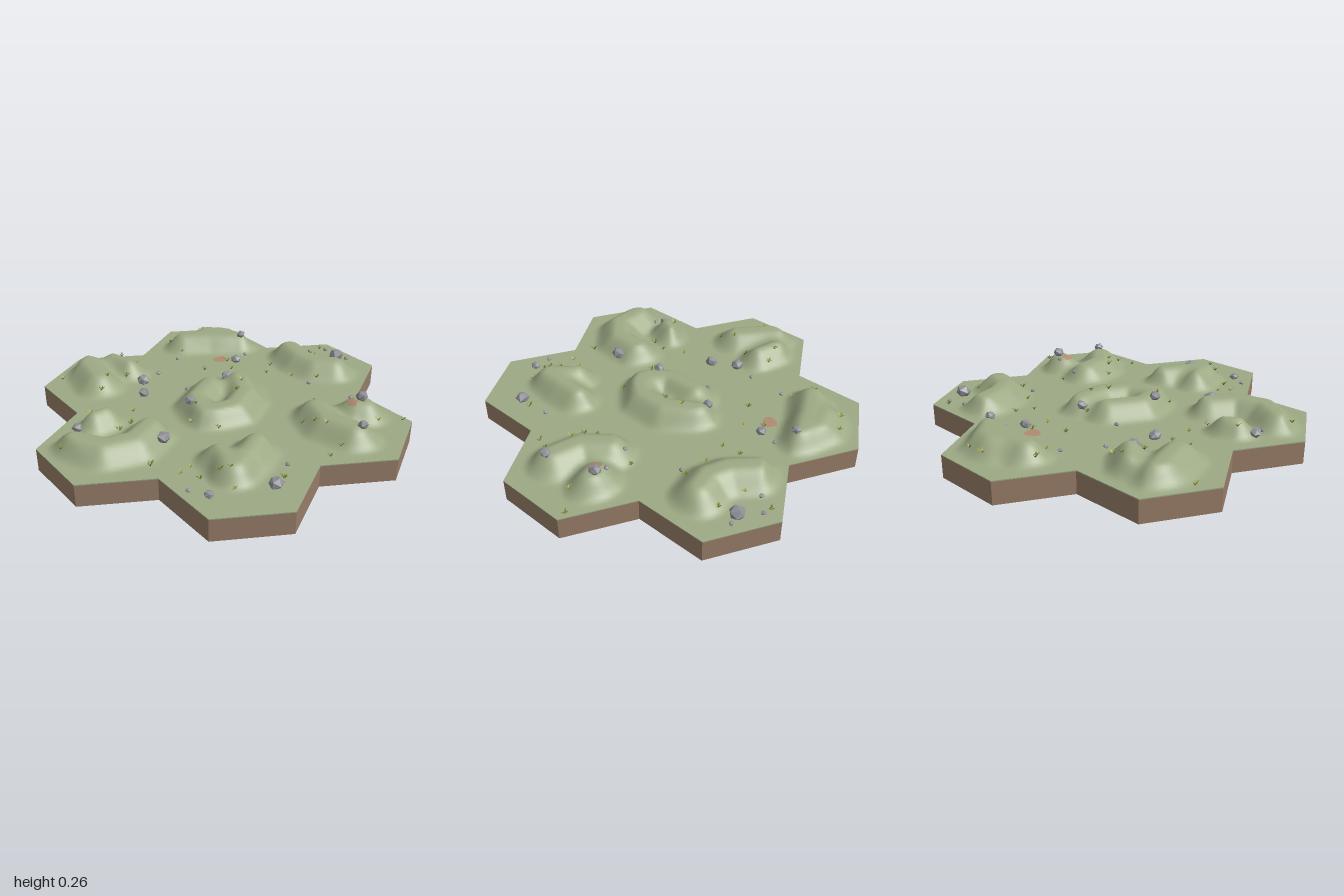
import * as THREE from 'three';
import { mergeGeometries, mergeVertices } from 'three/addons/utils/BufferGeometryUtils.js';

const APOTHEM = 1 / 3, R = APOTHEM * 2 / Math.sqrt(3), TOP = 0.122, HILL = 0.092;

// Tile centres, each with its dune ridges: [path, flat half width, slope width]
const TILES = [
  { c: [0, 0], ridges: [[[[-0.1, -0.08], [-0.1, 0.1], [-0.02, 0.2]], 0.015, 0.13],
    [[[0.03, -0.2], [0.12, -0.05], [0.12, 0.1], [0.05, 0.2]], 0.02, 0.13]] },
  { c: [-2 * APOTHEM, 0], ridges: [[[[-0.87, -0.06], [-0.8, 0.0], [-0.7, 0.09]], 0.02, 0.14],
    [[[-0.75, -0.16], [-0.62, -0.12]], 0.0, 0.13]] },
  { c: [2 * APOTHEM, 0], ridges: [[[[0.52, -0.05], [0.61, 0.06], [0.76, 0.1]], 0.02, 0.14],
    [[[0.71, -0.15], [0.75, -0.16]], 0.02, 0.13]] },
  { c: [-APOTHEM, -1.5 * R], ridges: [[[[-0.48, -0.58], [-0.34, -0.66], [-0.17, -0.73]], 0.015, 0.13],
    [[[-0.38, -0.72], [-0.3, -0.74]], 0.0, 0.18]] },
  { c: [APOTHEM, -1.5 * R], ridges: [[[[0.17, -0.7], [0.27, -0.6], [0.37, -0.56], [0.47, -0.58]], 0.02, 0.14]] },
  { c: [-APOTHEM, 1.5 * R], ridges: [[[[-0.48, 0.71], [-0.32, 0.71], [-0.21, 0.6], [-0.2, 0.45]], 0.02, 0.14],
    [[[-0.5, 0.48], [-0.47, 0.42]], 0.0, 0.12]] },
  { c: [APOTHEM, 1.5 * R], ridges: [[[[0.34, 0.38], [0.34, 0.5], [0.32, 0.62]], 0.01, 0.13],
    [[[0.2, 0.53], [0.3, 0.61]], 0.0, 0.13]] },
];

const smooth = t => { t = Math.min(1, Math.max(0, t)); return t * t * (3 - 2 * t); };

function seeded(seed) {
  return () => { seed = (seed * 16807) % 2147483647; return seed / 2147483647; };
}

function pathDistance(x, z, path) {
  let best = Infinity;
  for (let i = 0; i < path.length - 1; i++) {
    const [ax, az] = path[i], dx = path[i + 1][0] - ax, dz = path[i + 1][1] - az;
    const t = Math.min(1, Math.max(0, ((x - ax) * dx + (z - az) * dz) / (dx * dx + dz * dz)));
    best = Math.min(best, Math.hypot(x - ax - t * dx, z - az - t * dz));
  }
  return best;
}

function edgeDistance(x, z, [cx, cz]) {
  let far = 0;
  for (let k = 0; k < 3; k++) {
    const a = k * Math.PI / 3;
    far = Math.max(far, Math.abs((x - cx) * Math.cos(a) + (z - cz) * Math.sin(a)));
  }
  return APOTHEM - far;
}

function tileHeight(x, z, tile) {
  let low = 1;
  for (const [path, flat, slope] of tile.ridges) {
    low *= 1 - smooth(1 - Math.max(0, pathDistance(x, z, path) - flat) / slope);
  }
  return TOP + HILL * (1 - low) * smooth(edgeDistance(x, z, tile.c) / 0.13);
}

function groundHeight(x, z) {
  const tile = TILES.reduce((a, b) => edgeDistance(x, z, a.c) > edgeDistance(x, z, b.c) ? a : b);
  return tileHeight(x, z, tile);
}

// Hexagonal surface of one tile, as six triangular fans of small triangles
function terrainGeometry(tile) {
  const N = 22, pos = [];
  for (let s = 0; s < 6; s++) {
    const a0 = s * Math.PI / 3, a1 = a0 + Math.PI / 3;
    const put = (i, j) => {
      const x = tile.c[0] + R / N * (i * Math.sin(a0) + j * Math.sin(a1));
      const z = tile.c[1] + R / N * (i * Math.cos(a0) + j * Math.cos(a1));
      pos.push(x, tileHeight(x, z, tile), z);
    };
    for (let i = 0; i < N; i++) {
      for (let j = 0; j < N - i; j++) {
        put(i, j); put(i + 1, j); put(i, j + 1);
        if (i + j < N - 1) { put(i + 1, j); put(i + 1, j + 1); put(i, j + 1); }
      }
    }
  }
  const g = new THREE.BufferGeometry();
  g.setAttribute('position', new THREE.Float32BufferAttribute(pos, 3));
  return g;
}

function flat(g) {
  g = g.index ? g.toNonIndexed() : g;
  g.computeVertexNormals();
  return g;
}

// Faceted boulder with uneven corners
function rockGeometry(x, z, r, rand) {
  let g = new THREE.IcosahedronGeometry(r, 0);
  g.deleteAttribute('normal'); g.deleteAttribute('uv');
  g = mergeVertices(g, 1e-5);
  const p = g.attributes.position;
  for (let i = 0; i < p.count; i++) {
    const k = 0.85 + 0.35 * rand();
    p.setXYZ(i, p.getX(i) * k, p.getY(i) * k * 0.85, p.getZ(i) * k);
  }
  g.rotateY(rand() * 6.28);
  g.translate(x, groundHeight(x, z) + r * 0.45, z);
  return flat(g);
}

// Rosette of pointed blades leaning outwards
function tuftGeometry(x, z, size, rand) {
  const pos = [], y = groundHeight(x, z);
  const blades = 5;
  for (let i = 0; i < blades; i++) {
    const a = (i + rand() * 0.7) * 2 * Math.PI / blades, len = size * (0.6 + 0.5 * rand());
    const c = Math.cos(a), s = Math.sin(a), w = size * 0.24;
    const mx = x + c * len * 0.5, mz = z + s * len * 0.5, my = y + len * 0.65;
    const L = [mx - s * w, my, mz + c * w], Q = [mx + s * w, my, mz - c * w];
    pos.push(x, y - 0.002, z, ...L, ...Q);
    pos.push(...L, x + c * len, y + len * 0.95, z + s * len, ...Q);
  }
  const g = new THREE.BufferGeometry();
  g.setAttribute('position', new THREE.Float32BufferAttribute(pos, 3));
  g.computeVertexNormals();
  return g;
}

// Thin irregular patch of bare soil lying on the ground
function patchGeometry(x, z, r, rand) {
  const g = new THREE.CircleGeometry(r, 11).rotateX(-Math.PI / 2);
  const p = g.attributes.position;
  for (let i = 0; i < p.count; i++) {
    const k = 0.5 + 0.6 * rand(), px = x + p.getX(i) * k, pz = z + p.getZ(i) * k;
    p.setXYZ(i, px, groundHeight(px, pz) + 0.003, pz);
  }
  g.computeVertexNormals();
  return g;
}

const ROCKS = [[0.44, -0.79, 0.042], [-0.15, -0.7, 0.025], [-0.11, -0.52, 0.03], [-0.05, -0.21, 0.028],
  [-0.5, -0.06, 0.036], [-0.43, 0.07, 0.032], [-0.1, 0.18, 0.03], [0.73, -0.17, 0.034], [0.8, 0.1, 0.028],
  [-0.1, 0.5, 0.037], [-0.56, 0.55, 0.031], [0.52, 0.62, 0.038], [0.27, 0.81, 0.026]];
const PEBBLES = [[-0.45, -0.41], [-0.47, -0.19], [-0.23, -0.07], [0.38, -0.4], [0.49, -0.13], [0.67, -0.18],
  [0.52, 0.44], [0.17, 0.81], [0.27, -0.8], [0.5, -0.8], [-0.09, -0.62], [-0.53, 0.6], [0.35, -0.87]];
const TUFTS = [[-0.45, -0.78], [-0.36, -0.83], [-0.56, -0.55], [-0.45, -0.48], [-0.24, -0.34], [-0.16, -0.5],
  [-0.1, -0.41], [0.31, -0.88], [0.47, -0.7], [0.31, -0.73], [0.1, -0.54], [0.11, -0.44], [0.26, -0.45],
  [0.41, -0.45], [-0.7, -0.18], [-0.62, -0.2], [-0.6, -0.04], [-0.65, 0.08], [-0.95, 0.08], [-0.64, 0.17],
  [-0.08, -0.19], [0.07, -0.13], [0.08, -0.03], [-0.06, 0.2], [-0.05, 0.28], [0.1, 0.27], [0.52, -0.19],
  [0.84, -0.1], [0.48, 0.08], [0.55, 0.1], [0.62, 0.12], [0.72, 0.21], [0.69, 0.29], [-0.4, 0.26],
  [-0.35, 0.38], [-0.37, 0.46], [-0.54, 0.46], [-0.08, 0.69], [-0.52, 0.77], [0.1, 0.63], [0.18, 0.7],
  [0.27, 0.68], [0.36, 0.73], [0.54, 0.55], [0.32, 0.67], [0.08, 0.7], [0.95, -0.19]];

export function createModel() {
  const model = new THREE.Group();
  const material = (name, color, side = THREE.FrontSide) => {
    const m = new THREE.MeshStandardMaterial({ color, side });
    m.name = name;
    return m;
  };
  const soil = material('brown soil', 0x967c68);
  const turf = material('sage turf', 0x9ca984);
  const stone = material('grey stone', 0x8f9096);
  const grass = material('olive grass', 0x75812f, THREE.DoubleSide);
  const paleGrass = material('pale grass', 0xa0a34c, THREE.DoubleSide);
  const clay = material('pink clay', 0xb08a70, THREE.DoubleSide);
  const add = (name, geometry, mat) => {
    const mesh = new THREE.Mesh(geometry, mat);
    mesh.name = name;
    model.add(mesh);
  };
  const rand = seeded(4711);

  // Hexagonal base blocks with a thin turf rim
  const prisms = (y0, y1, open) => mergeGeometries(TILES.map(({ c }) =>
    flat(new THREE.CylinderGeometry(R, R, y1 - y0, 6, 1, open).translate(c[0], (y0 + y1) / 2, c[1]))));
  add('tileBase', prisms(0, 0.117, false), soil);
  add('turfRim', prisms(0.117, TOP, true), turf);

  // Rolling ground surface, smooth across the tiles
  const ground = mergeVertices(mergeGeometries(TILES.map(terrainGeometry)), 1e-5);
  ground.computeVertexNormals();
  add('hillyGround', ground, turf);

  // Loose details on the ground
  add('rocks', mergeGeometries(ROCKS.map(([x, z, r]) => rockGeometry(x, z, r, rand))), stone);
  add('pebbles', mergeGeometries(PEBBLES.map(([x, z]) => rockGeometry(x, z, 0.013, rand))), stone);
  const tufts = TUFTS.map(([x, z]) => tuftGeometry(x, z, 0.019 + 0.007 * rand(), rand));
  add('grassTufts', mergeGeometries(tufts.filter((_, i) => i % 3)), grass);
  add('paleGrassTufts', mergeGeometries(tufts.filter((_, i) => i % 3 === 0)), paleGrass);
  add('clayPatches', mergeGeometries([patchGeometry(-0.2, -0.5, 0.05, rand),
    patchGeometry(0.69, -0.12, 0.04, rand)]), clay);
  return model;
}
